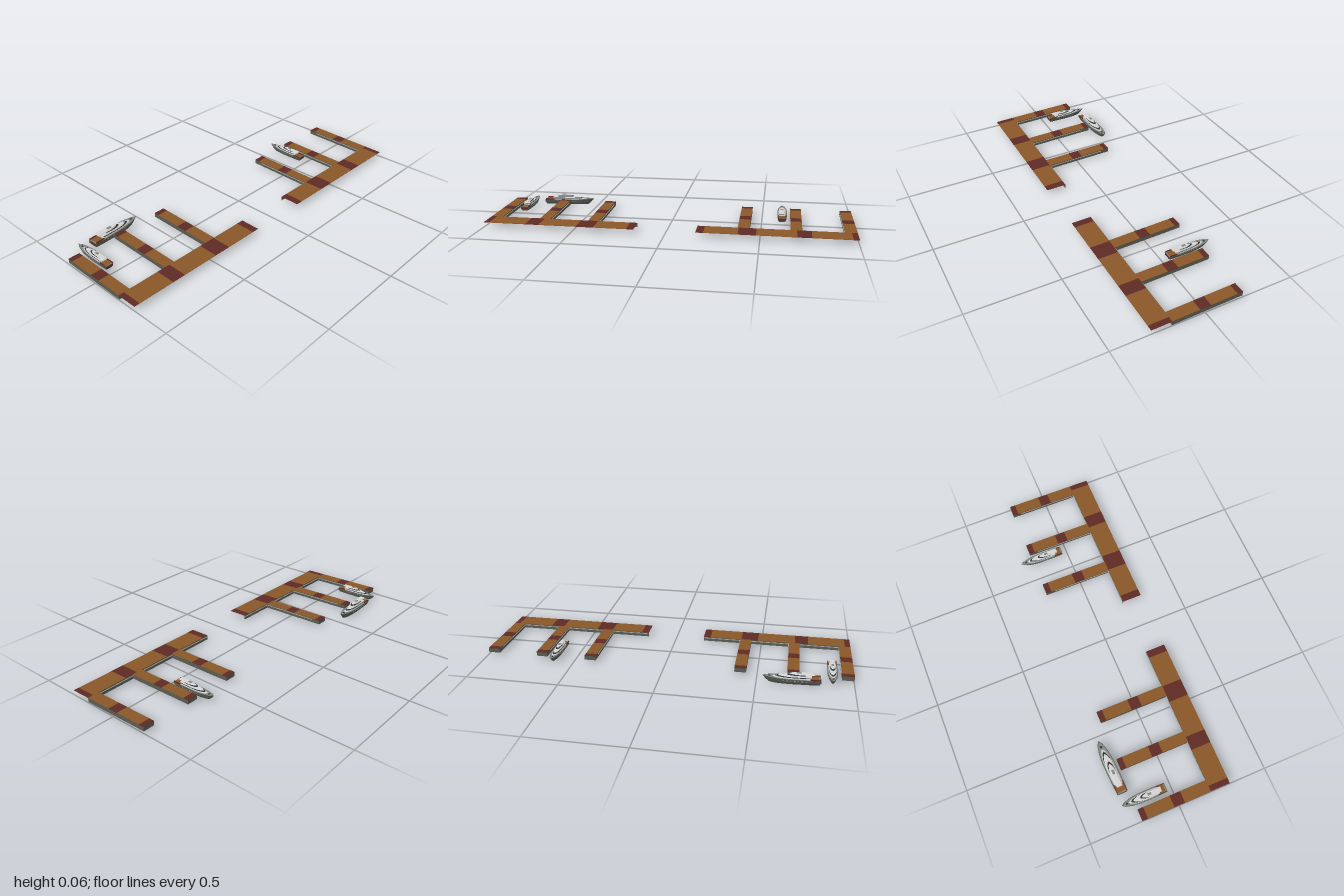
import * as THREE from 'three';

const material = (name, color, side = THREE.FrontSide) => {
  const m = new THREE.MeshStandardMaterial({ color, side });
  m.name = name;
  return m;
};

export function createModel() {
  const plank = material('brown planking', 0x8a5729);
  const red = material('dark red planking', 0x5e2a25);
  const wall = material('grey quay wall', 0x5a5c52);
  const pale = material('pale ledge', 0xa4a6a2);
  const hullGrey = material('hull grey', 0x5b5e56);
  const deckGrey = material('boat deck grey', 0x858783);
  const white = material('cabin white', 0xd2d3d2);
  const glass = material('dark glass', 0x33363a);

  const model = new THREE.Group();
  model.name = 'marina';

  // Box given by its limits on each axis
  function block(parent, name, mat, [x0, x1], [y0, y1], [z0, z1]) {
    const mesh = new THREE.Mesh(new THREE.BoxGeometry(x1 - x0, y1 - y0, z1 - z0), mat);
    mesh.position.set((x0 + x1) / 2, (y0 + y1) / 2, (z0 + z1) / 2);
    mesh.name = name;
    parent.add(mesh);
    return mesh;
  }

  // Half of a boat-shaped outline: [share of half width, share of length from the stern]
  const OUTLINE = [[0.92, 0], [1, 0.2], [1, 0.6], [0.82, 0.78], [0.45, 0.93], [0, 1]];

  // Stack of boat-shaped outlines, each [y, halfWidth, aftZ, foreZ, bowRise]
  function loft(parent, name, mat, layers) {
    const ring = ([y, w, aft, fore, rise = 0]) => {
      const side = (s) => OUTLINE.map(([k, t]) =>
        [s * k * w, y + rise * t * t, aft + (fore - aft) * t]);
      return [...side(1), ...side(-1).reverse().slice(1)];
    };
    const rings = layers.map(ring);
    const n = rings[0].length;
    const pos = [];
    const tri = (...p) => p.forEach((v) => pos.push(...v));
    for (let j = 0; j + 1 < rings.length; j++) {
      for (let i = 0; i < n; i++) {
        const k = (i + 1) % n, a = rings[j], b = rings[j + 1];
        tri(a[i], a[k], b[k]);
        tri(a[i], b[k], b[i]);
      }
    }
    // Caps are strips running across the boat
    const top = rings[rings.length - 1], low = rings[0];
    for (let i = 0; i < OUTLINE.length - 1; i++) {
      const m = n - 1 - i;
      tri(top[i], top[i + 1], top[m - 1]);
      tri(top[i], top[m - 1], top[m]);
      tri(low[i], low[m - 1], low[i + 1]);
      tri(low[i], low[m], low[m - 1]);
    }
    const geo = new THREE.BufferGeometry();
    geo.setAttribute('position', new THREE.Float32BufferAttribute(pos, 3));
    geo.computeVertexNormals();
    const mesh = new THREE.Mesh(geo, mat);
    mesh.name = name;
    parent.add(mesh);
  }

  // Quay: s = 1 for the left half, -1 for the right; rises gently towards the back
  function makeDock(s) {
    const dock = new THREE.Group();
    dock.name = s > 0 ? 'leftDock' : 'rightDock';
    const span = (a, b) => (s > 0 ? [a, b] : [-b, -a]);
    const deckY = [-0.002, 0], wallY = [-0.025, -0.002];

    // Promenade in alternating colours
    const cuts = [0.165, 0.205, 0.385, 0.48, 0.69, 0.765, 0.97, 1];
    for (let i = 0; i + 1 < cuts.length; i++) {
      block(dock, i % 2 ? 'promenadePlanks' : 'promenadeBand', i % 2 ? plank : red,
        span(cuts[i], cuts[i + 1]), deckY, [0.18, 0.29]);
    }
    block(dock, 'promenadeWall', wall, span(0.165, 1), wallY, [0.178, 0.181]);

    // Pale ledge along the back of the promenade, between the fingers
    for (const [a, b] of [[0.165, 0.38], [0.442, 0.657], [0.718, 0.937]]) {
      block(dock, 'promenadeLedge', pale, span(a, b), [-0.009, -0.006], [0.174, 0.178]);
    }

    // Three finger piers
    const rows = [-0.21, -0.18, -0.03, 0.03, 0.18];
    for (const [a, b] of [[0.38, 0.442], [0.657, 0.718], [0.937, 1]]) {
      for (let i = 0; i + 1 < rows.length; i++) {
        block(dock, i % 2 ? 'fingerPlanks' : 'fingerBand', i % 2 ? plank : red,
          span(a, b), deckY, [rows[i], rows[i + 1]]);
      }
      block(dock, 'fingerInnerWall', wall, span(a, a + 0.002), wallY, [-0.21, 0.18]);
      block(dock, 'fingerOuterWall', wall, span(b - 0.002, b), wallY, [-0.21, 0.18]);
      block(dock, 'fingerEndWall', wall, span(a, b), wallY, [-0.21, -0.207]);
      block(dock, 'fingerLedge', pale, span(a - 0.003, a), [-0.009, -0.006], [-0.16, 0.175]);
    }
    dock.position.y = 0.033;
    dock.rotation.x = 0.019;
    model.add(dock);
  }
  makeDock(1);
  makeDock(-1);

  // Motor yacht with its bow towards -z
  function makeBoat(name, x, y, z, scale, turn) {
    const boat = new THREE.Group();
    boat.name = name;
    loft(boat, 'hull', hullGrey, [
      [0, 0.017, 0.118, -0.095], [0.01, 0.023, 0.122, -0.11, 0.002],
      [0.023, 0.0265, 0.125, -0.125, 0.006]]);
    loft(boat, 'deck', deckGrey, [
      [0.0225, 0.0235, 0.122, -0.119, 0.006], [0.024, 0.0235, 0.122, -0.119, 0.006]]);

    // Stern platform and transom
    block(boat, 'sternPlanks', plank, [-0.019, 0.019], [0.024, 0.0255], [0.082, 0.118]);
    for (const s of [-1, 1]) {
      const edge = s * 0.0215;
      block(boat, 'sternRail', red, [edge - 0.0015, edge + 0.0015], [0.023, 0.029], [0.078, 0.122]);
      for (let i = 0; i < 7; i++) {
        const pz = 0.06 - i * 0.016;
        const px = s * 0.0258;
        block(boat, 'porthole', pale, [px - 0.0008, px + 0.0008], [0.017, 0.0195], [pz - 0.003, pz + 0.003]);
      }
    }
    block(boat, 'transom', red, [-0.021, 0.021], [0.011, 0.021], [0.122, 0.1255]);

    // Lower cabin, its window band and roof
    loft(boat, 'lowerCabin', white, [
      [0.023, 0.0205, 0.078, -0.085, 0.006], [0.029, 0.0195, 0.077, -0.075, 0.002]]);
    loft(boat, 'lowerWindows', glass, [
      [0.029, 0.0185, 0.075, -0.073, 0.002], [0.0335, 0.0175, 0.074, -0.06, 0.001]]);
    loft(boat, 'lowerRoof', white, [
      [0.0335, 0.019, 0.085, -0.06, 0.001], [0.0365, 0.0175, 0.084, -0.048]]);

    // Upper cabin and long overhanging roof
    loft(boat, 'upperCabin', white, [[0.0365, 0.0155, 0.06, -0.026], [0.039, 0.015, 0.06, -0.023]]);
    loft(boat, 'upperWindows', glass, [[0.039, 0.014, 0.058, -0.022], [0.0435, 0.0125, 0.056, -0.012]]);
    loft(boat, 'upperRoof', white, [[0.0435, 0.0145, 0.098, -0.012], [0.047, 0.011, 0.095, -0.004]]);
    block(boat, 'roofHatch', deckGrey, [-0.006, 0.006], [0.0465, 0.049], [0.02, 0.04]);
    block(boat, 'foredeckHatch', glass, [-0.005, 0.005], [0.026, 0.0295], [-0.1, -0.09]);

    boat.position.set(x, y, z);
    boat.rotation.y = turn;
    boat.scale.setScalar(scale);
    model.add(boat);
  }
  makeBoat('rightBoat', -0.89, 0.006, -0.155, 1, 0);
  makeBoat('leftBoat', 0.612, 0.006, -0.155, 1, 0);
  makeBoat('largeBoat', -0.68, 0, -0.256, 1.2, -Math.PI / 2 + 0.05);

  return model;
}
